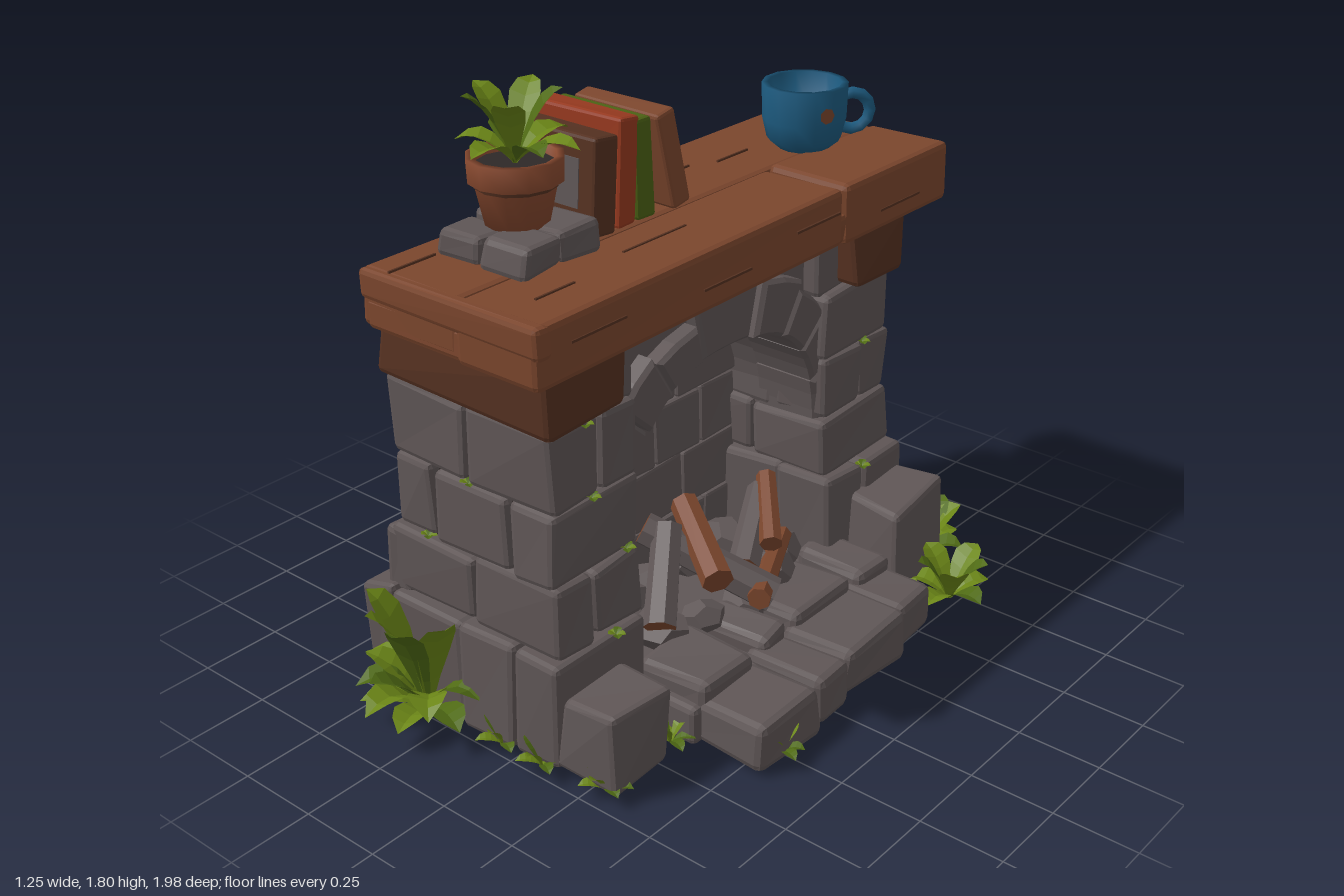
import * as THREE from 'three';
import { RoundedBoxGeometry } from 'three/addons/geometries/RoundedBoxGeometry.js';

let seed = 7;
const rnd = () => (seed = (seed * 16807) % 2147483647) / 2147483647;
const vary = (a) => (rnd() * 2 - 1) * a;

const mat = (name, color, side = THREE.FrontSide) => {
  const m = new THREE.MeshStandardMaterial({ color, side });
  m.name = name;
  return m;
};

export function createModel() {
  seed = 7;
  const root = new THREE.Group();
  const stone = mat('stone', 0x5f5656), mortar = mat('mortar', 0x2e2827);
  const wood = mat('wood', 0x7b462d), darkWood = mat('dark wood', 0x553121);
  const clay = mat('clay', 0x88492f), red = mat('red cover', 0x96391f);
  const blue = mat('blue glaze', 0x1d5b80), bookGreen = mat('green cover', 0x4b6114);
  const leafLight = mat('light leaf', 0x6b8617, THREE.DoubleSide);
  const leafDark = mat('dark leaf', 0x4f6a14, THREE.DoubleSide);

  const group = (name, parent = root) => {
    const g = new THREE.Group();
    g.name = name;
    parent.add(g);
    return g;
  };
  const add = (parent, name, geo, material, x = 0, y = 0, z = 0) => {
    const m = new THREE.Mesh(geo, material);
    m.name = name;
    m.position.set(x, y, z);
    parent.add(m);
    return m;
  };

  // Chamfered block between two corners, its eight corners pushed slightly out of square
  function block(parent, name, material, x, y, z, j = 0.01, r = 0.018) {
    const s = [x, y, z].map(([a, b]) => b - a);
    const geo = new RoundedBoxGeometry(...s, 1, Math.min(r, Math.min(...s) * 0.3));
    const off = Array.from({ length: 8 }, () => [vary(j), vary(j), vary(j)]);
    const p = geo.attributes.position;
    for (let i = 0; i < p.count; i++) {
      const v = [p.getX(i), p.getY(i), p.getZ(i)];
      const f = v.map((c, k) => c / s[k] + 0.5);
      off.forEach((o, c) => {
        const w = [0, 1, 2].reduce((a, k) => a * ((c >> k) & 1 ? f[k] : 1 - f[k]), 1);
        o.forEach((d, k) => { v[k] += w * d; });
      });
      p.setXYZ(i, ...v);
    }
    geo.computeVertexNormals();
    return add(parent, name, geo, material, ...[x, y, z].map(([a, b]) => (a + b) / 2));
  }

  // Pillars: stacked courses cut into stones along x, the front stone also cut along z
  function course(parent, x, y, z, cuts, frontCut) {
    const e = [x[0], ...cuts, x[1]];
    for (let i = 0; i < e.length - 1; i++) {
      const xs = [e[i] + 0.002, e[i + 1] - 0.002];
      if (i === e.length - 2 && frontCut) {
        block(parent, 'pillarStone', stone, xs, y, [z[0], frontCut - 0.003]);
        block(parent, 'pillarStone', stone, xs, y, [frontCut + 0.003, z[1]]);
      } else block(parent, 'pillarStone', stone, xs, y, z);
    }
  }
  const near = group('nearPillar'), far = group('farPillar');
  course(near, [-0.47, 0.17], [0.02, 0.35], [0.37, 0.73], [-0.2, 0], 0);
  course(near, [-0.48, 0.15], [0.35, 0.56], [0.37, 0.71], [-0.15], 0.55);
  course(near, [-0.46, 0.14], [0.56, 0.78], [0.365, 0.7], [-0.3, -0.02], 0);
  course(near, [-0.46, 0.14], [0.78, 1.01], [0.37, 0.7], [-0.16], 0.51);
  course(near, [-0.45, 0.11], [1.0, 1.21], [0.36, 0.68], [-0.2], 0);
  course(far, [-0.47, 0.2], [0.02, 0.42], [-0.84, -0.44], [-0.25, 0], -0.62);
  course(far, [-0.47, 0.15], [0.42, 0.6], [-0.81, -0.46], [-0.12], 0);
  course(far, [-0.46, 0.14], [0.6, 0.8], [-0.8, -0.47], [-0.3, -0.05], -0.66);
  course(far, [-0.46, 0.14], [0.8, 1.01], [-0.8, -0.47], [-0.18], 0);
  course(far, [-0.45, 0.11], [1.0, 1.21], [-0.77, -0.46], [-0.2], 0);
  // Stones leaning against the foot of the pillars
  const foot = group('footStones');
  block(foot, 'footStone', stone, [-0.58, -0.44], [0.02, 0.35], [0.34, 0.73], 0.02);
  block(foot, 'footStone', stone, [-0.5, -0.42], [0.34, 0.54], [0.38, 0.71], 0.015);
  block(foot, 'footStone', stone, [0.15, 0.35], [0.02, 0.26], [0.48, 0.71], 0.02);
  block(foot, 'footStone', stone, [0.18, 0.37], [0.02, 0.33], [-0.84, -0.55], 0.02);

  // Masonry walls facing the back and lining the niche, over a mortar core
  function wall(name, x, y0, y1, z0, z1, rows, cols) {
    const g = group(name), h = (y1 - y0) / rows;
    for (let r = 0; r < rows; r++) {
      const y = y0 + r * h, e = [z0];
      for (let c = 1; c < cols; c++) e.push(z0 + (z1 - z0) * (c + (r % 2 ? 0.22 : -0.22)) / cols + vary(0.02));
      e.push(z1);
      for (let c = 0; c < cols; c++)
        block(g, 'wallStone', stone, x, [y + 0.002, y + h - 0.002], [e[c] + 0.002, e[c + 1] - 0.002], 0.006, 0.01);
    }
  }
  wall('backWall', [-0.47, -0.39], 0.02, 1.2, -0.47, 0.38, 6, 4);
  wall('nicheWall', [-0.26, -0.2], 0.1, 1.06, -0.48, 0.38, 5, 4);
  add(root, 'wallCore', new THREE.BoxGeometry(0.18, 1.18, 1.06), mortar, -0.33, 0.61, -0.05);
  for (const z of [0.53, -0.63])
    add(root, 'pillarCore', new THREE.BoxGeometry(0.52, 1.16, 0.28), mortar, -0.16, 0.6, z);

  // Arched wall above the opening, drawn in (-z, y) and extruded along x
  const arch = group('arch');
  const archPoint = (t, k = 1) => {
    const a = Math.PI * t, c = Math.cos(a), pw = (v) => Math.sign(v) * Math.abs(v) ** 0.8;
    return new THREE.Vector2(0.055 - 0.425 * k * pw(c), 0.55 + 0.44 * k * pw(Math.max(0, Math.sin(a))));
  };
  const span = (a, b, k, n) => Array.from({ length: n + 1 }, (_, i) => archPoint(a + (b - a) * i / n, k));
  const extrude = (name, pts, x, depth, bevel) => {
    const geo = new THREE.ExtrudeGeometry(new THREE.Shape(pts), {
      depth, bevelEnabled: bevel > 0, bevelSize: bevel, bevelThickness: bevel, bevelOffset: -bevel, bevelSegments: 1,
    });
    geo.rotateY(Math.PI / 2);
    add(arch, name, geo, stone, x);
  };
  extrude('archWall', [...span(0, 1, 1, 20), new THREE.Vector2(0.5, 0.55), new THREE.Vector2(0.5, 1.2),
    new THREE.Vector2(-0.39, 1.2), new THREE.Vector2(-0.39, 0.55)], -0.22, 0.28, 0);
  for (let i = 0; i < 9; i++) {
    const a = i / 9 + 0.002, b = (i + 1) / 9 - 0.002, k = 1.3 + (i === 4 ? 0.15 : vary(0.06));
    extrude('archStone', [...span(a, b, 0.985, 3), ...span(a, b, k, 2).reverse()], -0.1, 0.2 + vary(0.012), 0.012);
  }

  // Hearth floor, front slabs and the ring of stones around the fire
  const hearth = group('hearth');
  block(hearth, 'hearthFloor', stone, [-0.25, 0.36], [0.01, 0.13], [-0.5, 0.4], 0);
  [[-0.55, -0.36, 0.52], [-0.36, -0.05, 0.55], [-0.05, 0.11, 0.56], [0.11, 0.38, 0.58]].forEach(([a, b, x]) => {
    block(hearth, 'frontSlab', stone, [0.3, x], [0.005, 0.15], [a + 0.003, b - 0.003], 0.012, 0.025);
    block(hearth, 'innerSlab', stone, [0.12, 0.36], [0.01, 0.195], [a + 0.02, b - 0.02], 0.015, 0.025);
  });
  for (let i = 0; i < 11; i++) {
    const a = i / 11 * Math.PI * 2, s = 0.055 + rnd() * 0.02;
    const m = add(hearth, 'fireStone', new THREE.DodecahedronGeometry(s), stone,
      0.02 + Math.cos(a) * 0.15, 0.17 + rnd() * 0.04, -0.06 + Math.sin(a) * 0.3);
    m.scale.set(1, 0.85, 1.3);
    m.rotation.y = rnd() * 3;
  }

  // Logs: grey bark with cut ends, some split to bare wood
  const logs = group('logs');
  [[[0.12, 0.23, 0.26], [-0.02, 0.42, 0.06], 0.05, stone], [[0.26, 0.23, -0.08], [-0.08, 0.41, 0.1], 0.055, stone],
    [[0.12, 0.25, -0.12], [0, 0.37, -0.36], 0.05, stone], [[0.2, 0.34, 0.1], [-0.05, 0.44, -0.05], 0.048, wood],
    [[0.27, 0.26, 0.0], [0.08, 0.24, -0.36], 0.035, wood], [[0.16, 0.31, -0.2], [0, 0.41, -0.38], 0.035, wood],
  ].forEach(([a, b, r, bark]) => {
    const p = new THREE.Vector3(...a), d = new THREE.Vector3(...b).sub(p);
    const geo = new THREE.CylinderGeometry(r * 0.9, r, d.length(), 7).toNonIndexed();
    geo.computeVertexNormals();
    const m = add(logs, 'log', geo, [bark, wood, wood], ...p.clone().addScaledVector(d, 0.5));
    m.quaternion.setFromUnitVectors(new THREE.Vector3(0, 1, 0), d.normalize());
  });

  // Wooden corbels and mantel planks
  const mantel = group('mantel');
  block(mantel, 'corbel', darkWood, [-0.46, 0.18], [1.02, 1.2], [0.45, 0.72], 0.015);
  block(mantel, 'corbel', darkWood, [-0.46, 0.18], [1.02, 1.2], [-0.8, -0.55], 0.015);
  block(mantel, 'lowerBeam', wood, [-0.39, 0.215], [1.2, 1.3], [-0.94, 0.81], 0.008);
  block(mantel, 'backPlank', wood, [-0.4, -0.052], [1.21, 1.372], [-0.955, 0.81], 0.005);
  block(mantel, 'frontPlank', wood, [-0.055, 0.225], [1.2, 1.37], [-0.425, 0.82], 0.005);
  block(mantel, 'endPlank', wood, [-0.055, 0.225], [1.2, 1.378], [-0.955, -0.431], 0.004);
  block(mantel, 'endCap', wood, [-0.4, 0.235], [1.28, 1.37], [0.77, 0.822], 0.006);
  [[-0.24, -0.2, 0.2], [-0.3, 0.72, 0.16], [0.06, 0.2, 0.25], [0.1, 0.62, 0.14], [-0.2, -0.45, 0.14]].forEach(([x, z, l]) =>
    add(mantel, 'grainLine', new THREE.BoxGeometry(0.006, 0.006, l), darkWood, x, 1.373, z));
  [[0.6, 1.3], [0.1, 1.27], [-0.3, 1.31], [-0.7, 1.26]].forEach(([z, y]) =>
    add(mantel, 'grainLine', new THREE.BoxGeometry(0.006, 0.007, 0.2), darkWood, 0.225, y, z));

  // Row of leaning books, the outer two with inset cover panels
  const books = group('books');
  [[0.27, 0.09, 0.27, -0.06, darkWood, 1], [0.18, 0.075, 0.3, -0.04, red, 0],
    [0.1, 0.065, 0.285, 0.06, bookGreen, 0], [-0.01, 0.07, 0.285, 0.23, wood, -1]].forEach(([z, t, h, tilt, cover, panel]) => {
    const b = group('book', books);
    block(b, 'cover', cover, [-0.155, 0.155], [0, h], [-t / 2, t / 2], 0.004, 0.01);
    if (panel) add(b, 'coverPanel', new THREE.BoxGeometry(0.2, h * 0.5, 0.008), stone, 0, h * 0.52, panel * t / 2);
    b.position.set(-0.205, 1.372, z - (panel < 0 ? 0.035 : 0));
    b.rotation.x = tilt;
  });

  // Mug with handle and worn spot
  const lathe = (pts, n) => new THREE.LatheGeometry(pts.map((p) => new THREE.Vector2(...p)), n);
  const mug = group('mug');
  add(mug, 'cup', lathe([[0, 0], [0.075, 0], [0.11, 0.03], [0.124, 0.09], [0.127, 0.195], [0.108, 0.195], [0.1, 0.08], [0, 0.08]], 14), blue);
  add(mug, 'drink', new THREE.CylinderGeometry(0.103, 0.1, 0.008, 14), stone, 0, 0.11, 0);
  add(mug, 'drinkSwirl', new THREE.CylinderGeometry(0.035, 0.035, 0.006, 7), darkWood, 0, 0.114, 0);
  const handle = add(mug, 'handle', new THREE.TorusGeometry(0.055, 0.018, 6, 12), blue, 0.092, 0.1, -0.11);
  handle.rotation.y = 0.87;
  const spot = add(mug, 'wornSpot', new THREE.CircleGeometry(0.024, 7), wood, 0.119, 0.125, 0.05);
  spot.rotation.y = 1.18;
  mug.position.set(-0.09, 1.375, -0.65);

  // Flower pot on stone tiles
  const pot = group('pot');
  for (const [x, z] of [[-0.3, 0.36], [-0.14, 0.36], [-0.3, 0.5], [-0.14, 0.5]])
    block(pot, 'potTile', stone, [x, x + 0.155], [1.37, 1.455 + vary(0.008)], [z, z + 0.135], 0.012);
  add(pot, 'potBody', lathe([[0, 0], [0.085, 0], [0.11, 0.115], [0.125, 0.115], [0.128, 0.18], [0.108, 0.18], [0.104, 0.14]], 12), clay, -0.15, 1.455, 0.49);
  add(pot, 'potBand', new THREE.CylinderGeometry(0.112, 0.109, 0.012, 12), darkWood, -0.15, 1.562, 0.49);
  add(pot, 'soil', new THREE.CylinderGeometry(0.107, 0.105, 0.01, 12), mortar, -0.15, 1.605, 0.49);

  // Folded leaf built from cross-sections along an arching rib
  function leaf(parent, angle, len, rise, droop, width, material) {
    const pos = [], idx = [], n = 5, dx = Math.cos(angle), dz = Math.sin(angle);
    for (let i = 0; i <= n; i++) {
      const t = i / n, w = width * (i === n ? 0 : 0.15 + 0.85 * Math.sin(Math.PI * t ** 1.2)) / 2;
      for (const s of [-1, 0, 1])
        pos.push(dx * len * t - dz * w * s, rise * t - droop * t * t + Math.abs(s) * w * 0.35, dz * len * t + dx * w * s);
      if (i < n) for (const k of [0, 1]) {
        const a = i * 3 + k;
        idx.push(a, a + 1, a + 3, a + 1, a + 4, a + 3);
      }
    }
    let geo = new THREE.BufferGeometry();
    geo.setAttribute('position', new THREE.Float32BufferAttribute(pos, 3));
    geo.setIndex(idx);
    geo = geo.toNonIndexed();
    geo.computeVertexNormals();
    add(parent, 'leaf', geo, material);
  }
  function plant(name, at, count, from, to, len, rise, width) {
    const g = group(name);
    g.position.set(...at);
    for (let i = 0; i < count; i++) {
      const k = 0.8 + rnd() * 0.2, h = rise * (i % 2 ? 1 : 0.55);
      leaf(g, from + (to - from) * (i + 0.5) / count + vary(0.12), len * k * (i % 2 ? 0.85 : 1), h * 1.7, h * (i % 2 ? 0.75 : 1.2), width, i % 3 ? leafLight : leafDark);
    }
  }
  plant('pottedLeaves', [-0.15, 1.61, 0.49], 11, 0, 6.28, 0.18, 0.2, 0.085);
  plant('endFern', [-0.31, 0.03, 0.76], 9, -0.2, 3.34, 0.235, 0.38, 0.11);
  plant('endFernLow', [-0.31, 0.03, 0.75], 6, 0.1, 3.04, 0.23, 0.17, 0.1);
  plant('cornerFern', [0.48, 0.01, -0.7], 10, 0, 6.28, 0.155, 0.15, 0.09);
  plant('sideFern', [0.28, 0.02, -0.84], 7, -2.9, -0.3, 0.165, 0.18, 0.09);

  // Grass tufts at the foot and moss sprigs between stones
  [[-0.56, 0.02, 0.47], [-0.56, 0.02, 0.62], [0.3, 0.02, 0.7], [0.3, 0.02, 0.43], [0.56, 0.02, 0.27], [0.28, 0.02, -0.54],
    [-0.46, 0.02, -0.55], [-0.46, 0.02, -0.25], [0.1, 0.02, 0.73], [-0.05, 0.02, 0.73], [0.4, 0.02, -0.56]].forEach((p) =>
    plant('grassTuft', p, 7, 0, 6.28, 0.085, 0.075, 0.04));
  [[0.14, 0.78, 0.55], [0.14, 1.0, 0.57], [0.14, 0.8, -0.66], [0.14, 0.57, 0.42], [0.17, 0.35, 0.5], [-0.16, 0.78, 0.7],
    [0.2, 0.42, -0.6], [-0.33, 0.56, 0.7]].forEach((p) => plant('mossSprig', p, 5, 0, 6.28, 0.03, 0.012, 0.025));

  return root;
}
